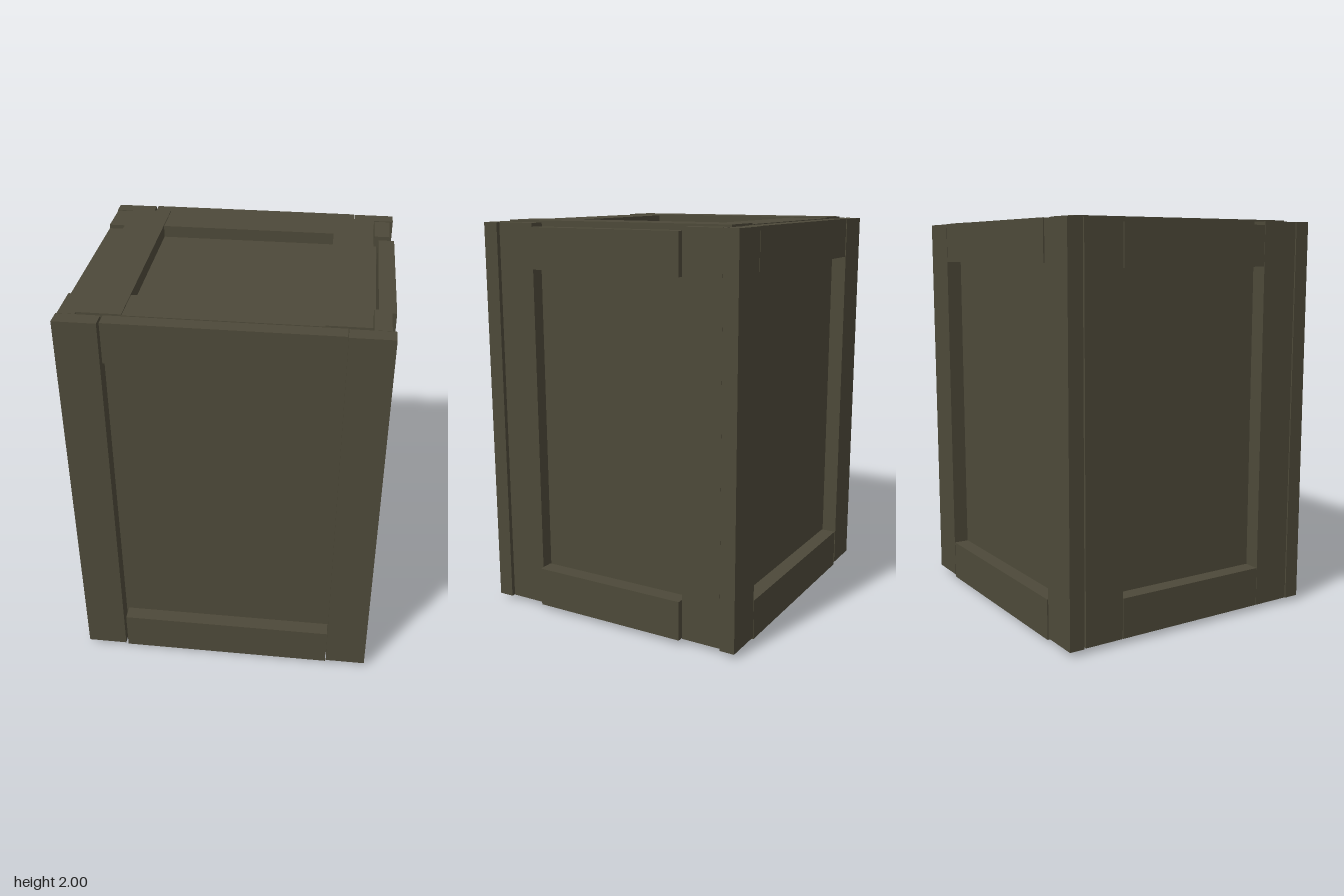
import * as THREE from 'three';

export function createModel() {
  const crate = new THREE.Group();
  crate.name = 'crate';
  const oliveWood = new THREE.MeshStandardMaterial({ color: 0x4d4939 });
  oliveWood.name = 'oliveWood';

  // Box given by its extents along each axis
  function plank(name, [x0, x1], [y0, y1], [z0, z1], parent = crate) {
    const mesh = new THREE.Mesh(new THREE.BoxGeometry(x1 - x0, y1 - y0, z1 - z0), oliveWood);
    mesh.position.set((x0 + x1) / 2, (y0 + y1) / 2, (z0 + z1) / 2);
    mesh.name = name;
    parent.add(mesh);
  }
  function frame(name) {
    const group = new THREE.Group();
    group.name = name;
    crate.add(group);
    return group;
  }

  // Inner body whose faces show as the recessed panels
  plank('innerPanels', [-0.665, 0.66], [0.065, 1.935], [-0.62, 0.62]);

  // Front and back frames: two posts with a rail above and below
  for (const [name, zPost, zRail] of [
    ['frontFrame', [0.622, 0.7], [0.622, 0.696]],
    ['backFrame', [-0.704, -0.626], [-0.704, -0.626]],
  ]) {
    const g = frame(name);
    plank('rightPost', [-0.755, -0.552], [0.025, 1.99], zPost, g);
    plank('leftPost', [0.541, 0.745], [0.025, 1.99], zPost, g);
    plank('bottomRail', [-0.541, 0.537], [0.013, 0.215], zRail, g);
    plank('topRail', [-0.541, 0.537], [1.79, 1.992], zRail, g);
  }

  // Side frames; the rails on the left side stand proud of the posts
  for (const [name, xPost, xRail] of [
    ['leftFrame', [0.647, 0.726], [0.669, 0.75]],
    ['rightFrame', [-0.75, -0.668], [-0.75, -0.668]],
  ]) {
    const g = frame(name);
    plank('frontPost', xPost, [0.025, 1.99], [0.42, 0.62], g);
    plank('backPost', xPost, [0.025, 1.99], [-0.616, -0.412], g);
    plank('bottomRail', xRail, [0.025, 0.225], [-0.408, 0.418], g);
    plank('topRail', xRail, [1.77, 1.972], [-0.408, 0.418], g);
  }

  // Lid and base frames: long planks front to back, cross planks between
  for (const [name, yLong, yCross] of [
    ['topFrame', [1.925, 2], [1.925, 1.995]],
    ['bottomFrame', [0, 0.075], [0.005, 0.075]],
  ]) {
    const g = frame(name);
    plank('rightPlank', [-0.663, -0.458], yLong, [-0.618, 0.62], g);
    plank('leftPlank', [0.437, 0.643], yLong, [-0.615, 0.62], g);
    plank('frontPlank', [-0.458, 0.437], yCross, [0.415, 0.62], g);
    plank('backPlank', [-0.458, 0.437], yCross, [-0.62, -0.415], g);
  }

  return crate;
}
